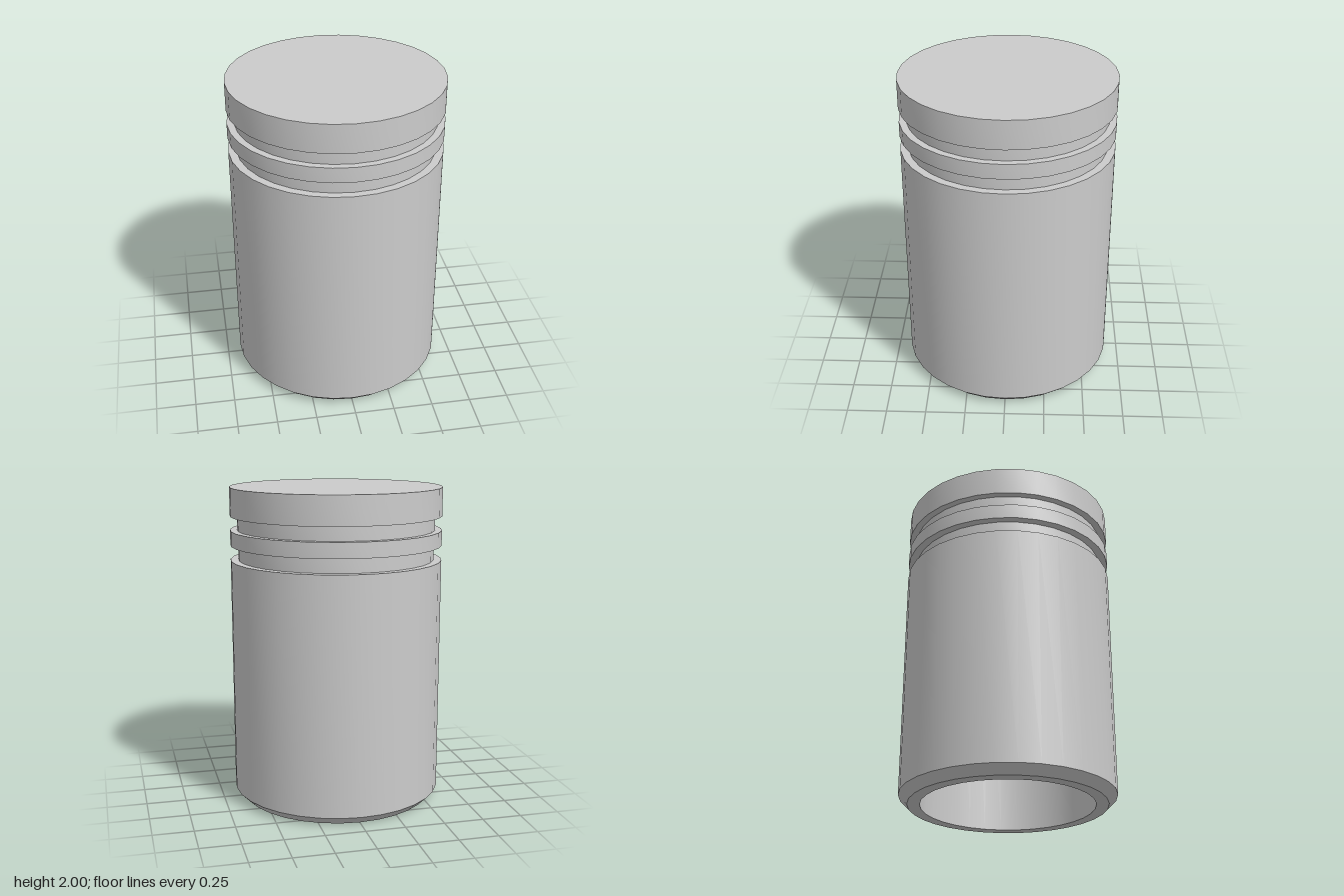
import * as THREE from 'three';
import { toCreasedNormals } from 'three/addons/utils/BufferGeometryUtils.js';

const SIDES = 32;
const R = 0.667; // outer radius
const BORE = 0.535; // inner radius
const material = new THREE.MeshStandardMaterial({ color: 0xcccccc });

// Turned part from [radius, height] pairs; outer walls run upwards
function turned(name, profile) {
  const points = profile.map(([r, y]) => new THREE.Vector2(r, y));
  const geometry = toCreasedNormals(new THREE.LatheGeometry(points, SIDES), 0.5);
  const mesh = new THREE.Mesh(geometry, material);
  mesh.name = name;
  return mesh;
}

export function createModel() {
  const group = new THREE.Group();
  group.name = 'piston';

  // Hollow inside, open at the bottom
  group.add(turned('bore', [[0, 1.8], [BORE, 1.8], [BORE, 0]]));

  // Skirt with bottom rim and chamfer
  group.add(turned('skirt', [[BORE, 0], [0.612, 0], [R, 0.055], [R, 1.545]]));

  // Two ring grooves with the land between them
  group.add(turned('ringGrooves', [
    [R, 1.545], [0.617, 1.545], [0.617, 1.637], [R, 1.637],
    [R, 1.732], [0.623, 1.732], [0.623, 1.82], [R, 1.82],
  ]));

  // Flat closed top
  group.add(turned('crown', [[R, 1.82], [R, 2], [0, 2]]));

  return group;
}
